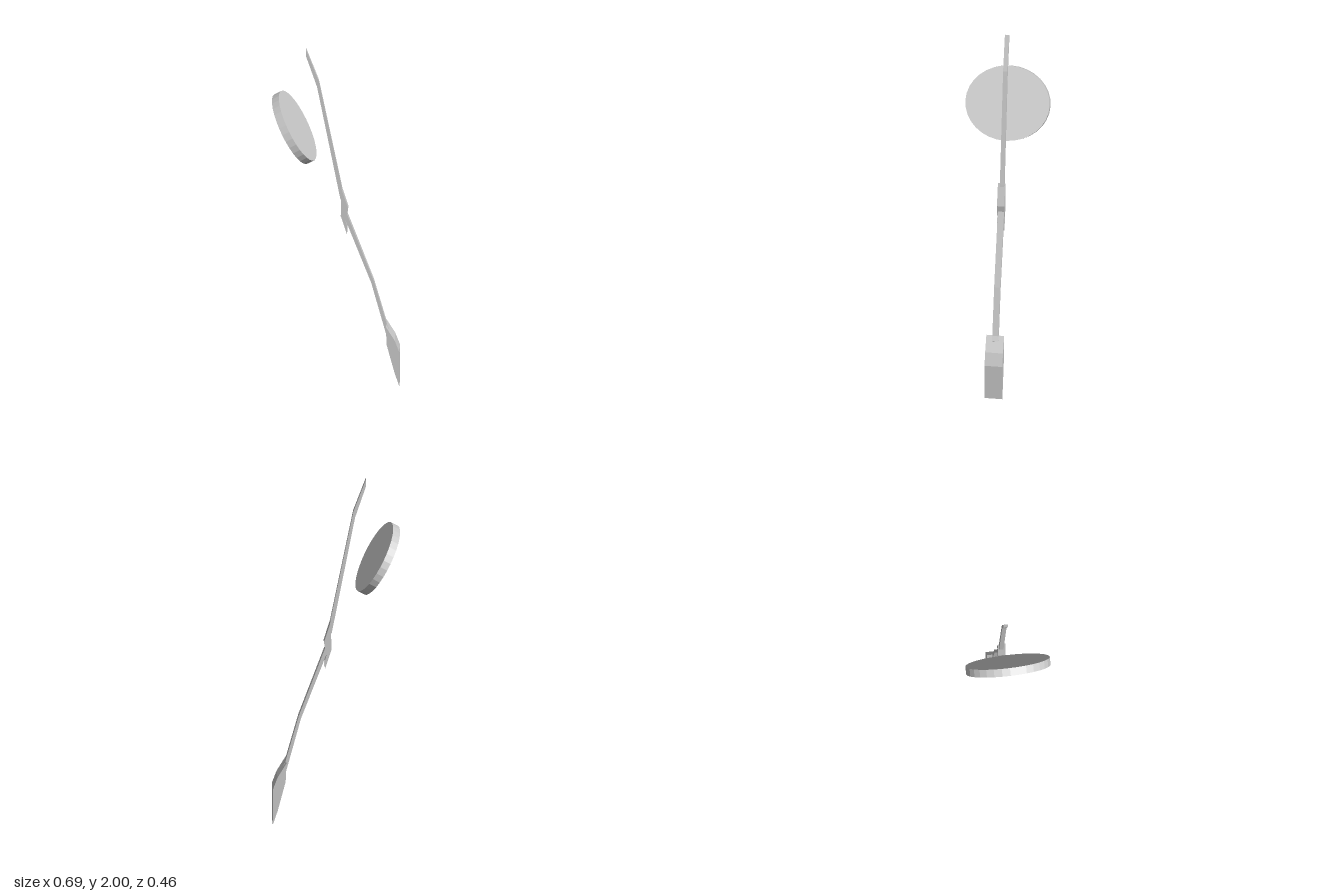
import * as THREE from 'three';

const material = new THREE.MeshStandardMaterial({ color: 0xcccccc, flatShading: true });

// Side profile in x/y, extruded to a width along z
function plate(name, points, width, z = 0) {
  const shape = new THREE.Shape(points.map(([x, y]) => new THREE.Vector2(x, y)));
  const geometry = new THREE.ExtrudeGeometry(shape, { depth: width, bevelEnabled: false });
  geometry.translate(0, 0, z - width / 2);
  const mesh = new THREE.Mesh(geometry, material);
  mesh.name = name;
  return mesh;
}

export function createModel() {
  const model = new THREE.Group();
  model.name = 'leaningLeverWithDisc';

  // Thin upper arm, bent near the tip
  model.add(plate('upperArm', [
    [-0.164, 2.0], [-0.164, 1.96], [-0.104, 1.775], [0.022, 1.1],
    [0.04, 1.1], [0.03, 1.17], [-0.09, 1.785], [-0.095, 1.81],
  ], 0.024, -0.004));

  // Elbow joint with a pointed lower end
  model.add(plate('elbowJoint', [
    [0.026, 1.175], [0.024, 1.005], [0.058, 0.895], [0.058, 0.945],
    [0.05, 0.975], [0.058, 1.01], [0.064, 1.05],
  ], 0.04, -0.001));

  // Lower arm, slightly bent
  model.add(plate('lowerArm', [
    [0.058, 1.015], [0.048, 0.985], [0.188, 0.605], [0.27, 0.29],
    [0.285, 0.33], [0.272, 0.355], [0.2, 0.62],
  ], 0.034, -0.002));

  // Wide blade at the bottom
  model.add(plate('footBlade', [
    [0.268, 0.357], [0.272, 0.25], [0.315, 0.08], [0.341, 0],
    [0.341, 0.205], [0.316, 0.275],
  ], 0.097, -0.001));

  // Oval disc, tilted beside the upper arm
  const disc = new THREE.Mesh(new THREE.CylinderGeometry(1, 1, 0.043, 32), material);
  disc.name = 'disc';
  disc.scale.set(0.203, 1, 0.229);
  disc.rotation.z = -Math.PI / 3;
  disc.position.set(-0.227, 1.526, 0);
  model.add(disc);

  return model;
}
